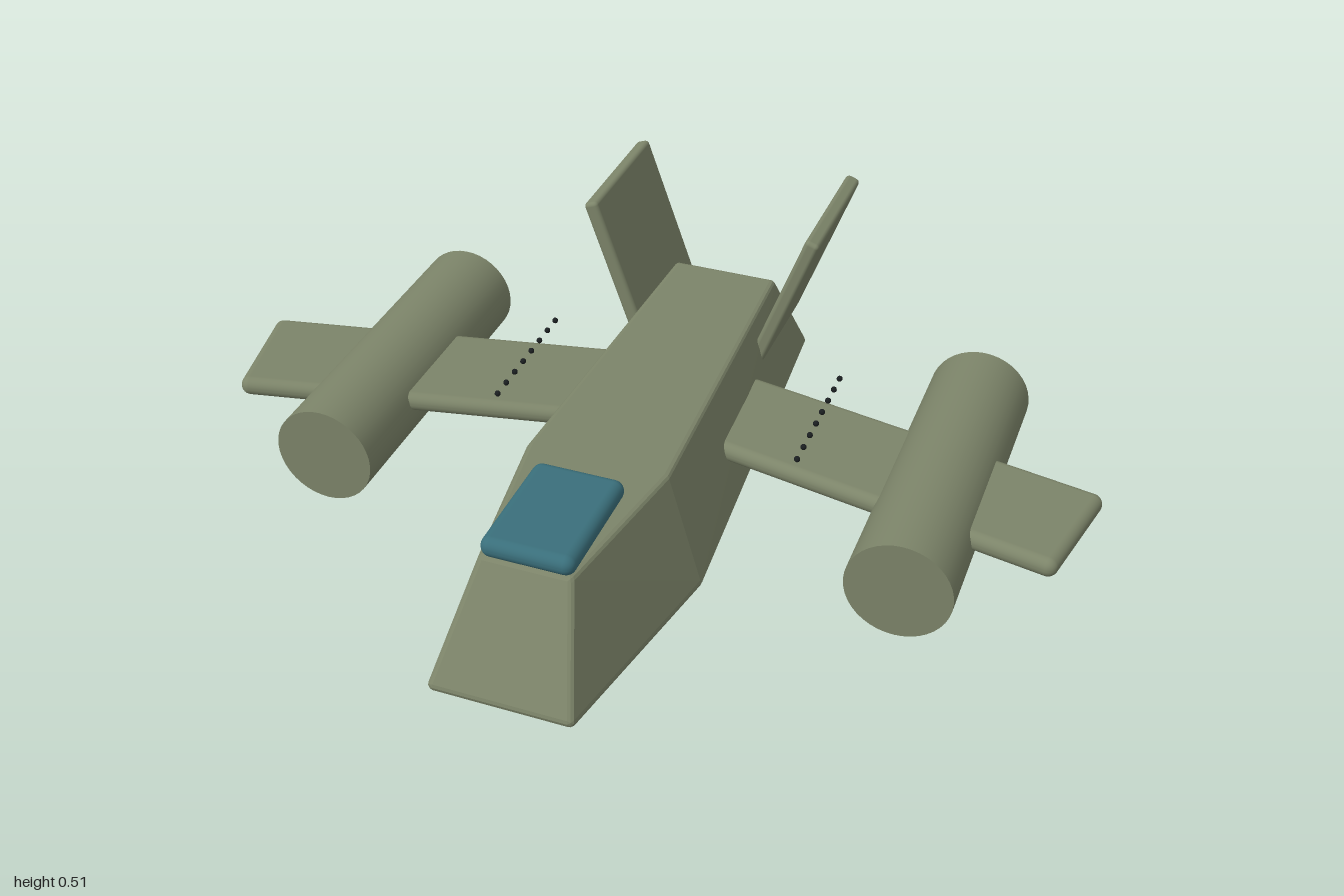
import * as THREE from 'three';
import { ConvexGeometry } from 'three/addons/geometries/ConvexGeometry.js';
import { RoundedBoxGeometry } from 'three/addons/geometries/RoundedBoxGeometry.js';

const paint = (color) => new THREE.MeshStandardMaterial({ color });
const olive = paint(0x7c8469);
const teal = paint(0x3a6f7b);
const dark = paint(0x1a1e20);

function add(parent, name, geometry, material, x, y, z) {
  const mesh = new THREE.Mesh(geometry, material);
  mesh.name = name;
  mesh.position.set(x, y, z);
  parent.add(mesh);
  return mesh;
}

// Faceted hull: eight-sided wedge whose corners are softened by a small ball
function hullGeometry() {
  const r = 0.014;
  // half width, y, z of each corner pair
  const corners = [
    [0.143, 0.034, 0.730], [0.231, 0.034, 0.25], [0.162, 0.034, -0.730],
    [0.090, 0.256, 0.590], [0.148, 0.256, 0.22], [0.115, 0.256, -0.600],
  ];
  const ball = new THREE.IcosahedronGeometry(r, 1).getAttribute('position');
  const points = [];
  for (const [x, y, z] of corners) {
    for (const side of [-1, 1]) {
      for (let i = 0; i < ball.count; i++) {
        points.push(new THREE.Vector3(side * x + ball.getX(i), y + ball.getY(i), z + ball.getZ(i)));
      }
    }
  }
  return new ConvexGeometry(points);
}

// Cylinder lying along z
const tube = (radius, length) => new THREE.CylinderGeometry(radius, radius, length, 40).rotateX(Math.PI / 2);

export function createModel() {
  const model = new THREE.Group();
  model.name = 'spacecraft';

  add(model, 'hull', hullGeometry(), olive, 0, 0, 0);
  add(model, 'canopy', new RoundedBoxGeometry(0.2, 0.046, 0.29, 4, 0.022), teal, 0, 0.286, 0.455);

  for (const side of [-1, 1]) {
    const label = side > 0 ? 'left' : 'right';

    // Forward-swept wing
    const wing = add(model, label + 'Wing', new RoundedBoxGeometry(0.86, 0.046, 0.285, 4, 0.022), olive,
      side * 0.55, 0.145, -0.123);
    wing.rotation.y = -side * 0.2;

    // Canted tail fin
    const fin = add(model, label + 'Fin', new RoundedBoxGeometry(0.034, 0.395, 0.35, 3, 0.01), olive,
      side * 0.2, 0.32, -0.575);
    fin.rotation.z = -side * 0.35;

    // Engine pod with nozzle and glowing core at the back
    const engine = new THREE.Group();
    engine.name = label + 'Engine';
    engine.position.set(side * 0.655, 0.115, 0);
    model.add(engine);
    add(engine, 'pod', tube(0.115, 0.76), olive, 0, 0, -0.15);
    add(engine, 'nozzle', tube(0.086, 0.03), dark, 0, 0, -0.525);
    add(engine, 'core', tube(0.06, 0.03), teal, 0, 0, -0.537);

    // Row of small beads above the wing
    for (let i = 0; i < 8; i++) {
      add(model, label + 'Rivet', new THREE.SphereGeometry(0.007, 10, 8), dark,
        side * 0.355, 0.178, -0.385 + i * 0.048);
    }
  }
  return model;
}
